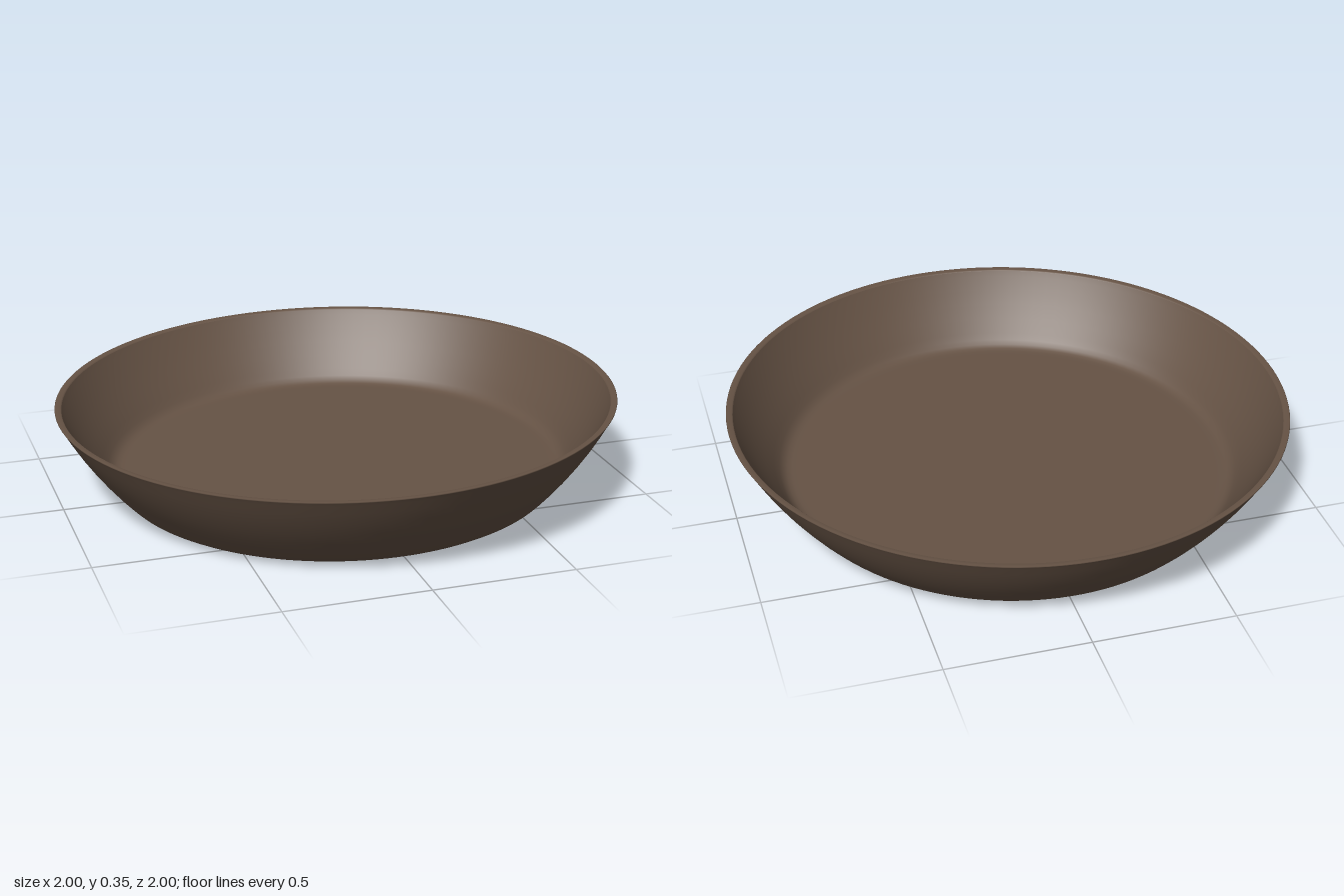
import * as THREE from 'three';

export function createModel() {
  const model = new THREE.Group();
  model.name = 'shallowDish';

  const clay = new THREE.MeshStandardMaterial({ color: 0x665345 });
  clay.name = 'brownClay';

  // The dish leans slightly to one side
  const dish = new THREE.Group();
  dish.name = 'tiltedDish';
  dish.rotation.z = 0.017;
  dish.position.set(0.005, 0.0135, 0);
  model.add(dish);

  const lathe = (name, points) => {
    const profile = points.map(([r, y]) => new THREE.Vector2(r, y));
    const mesh = new THREE.Mesh(new THREE.LatheGeometry(profile, 128), clay);
    mesh.name = name;
    dish.add(mesh);
  };

  // Recessed underside and rounded foot
  lathe('underside', [
    [0, 0.016], [0.69, 0.016], [0.7, 0.015], [0.712, 0.008], [0.722, 0.002],
    [0.735, 0], [0.75, 0.001], [0.768, 0.006], [0.785, 0.016], [0.8, 0.031],
  ]);

  // Flaring outer wall
  lathe('outerWall', [
    [0.785, 0.016], [0.8, 0.031], [0.835, 0.07], [0.87, 0.113], [0.905, 0.16],
    [0.94, 0.212], [0.97, 0.262], [0.99, 0.298], [0.998, 0.311],
  ]);

  // Narrow rim
  lathe('rim', [
    [0.998, 0.311], [1, 0.314], [0.998, 0.316], [0.98, 0.315], [0.976, 0.311],
  ]);

  // Inner wall curving into the flat floor
  lathe('innerBowl', [
    [0.976, 0.311], [0.965, 0.29], [0.938, 0.244], [0.906, 0.193], [0.873, 0.146],
    [0.843, 0.104], [0.825, 0.08], [0.812, 0.067], [0.797, 0.058], [0.78, 0.055],
    [0.76, 0.055], [0, 0.055],
  ]);

  // Small raised ring under the base
  const ring = new THREE.Mesh(new THREE.TorusGeometry(0.254, 0.018, 12, 96), clay);
  ring.name = 'baseRing';
  ring.rotation.x = Math.PI / 2;
  ring.position.y = 0.015;
  dish.add(ring);

  return model;
}
